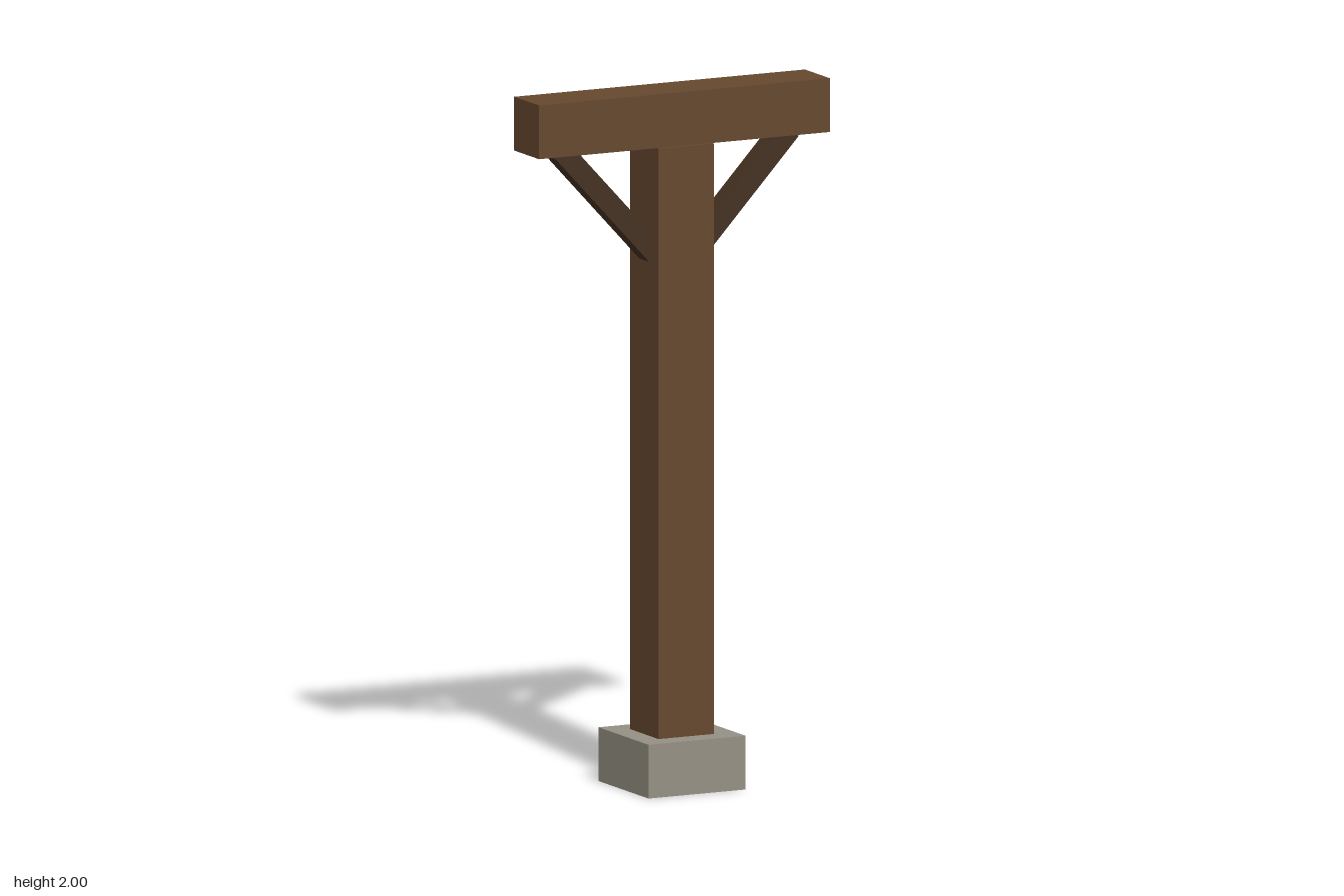
import * as THREE from 'three';

const mat = (color) => new THREE.MeshStandardMaterial({ color });

export function createModel() {
  const group = new THREE.Group();
  const wood = mat(0x65482e), darkWood = mat(0x433020), stone = mat(0x959084);

  const box = (name, w, h, d, y, material) => {
    const mesh = new THREE.Mesh(new THREE.BoxGeometry(w, h, d), material);
    mesh.name = name;
    mesh.position.y = y;
    group.add(mesh);
    return mesh;
  };

  // Stone footing, square post and cross beam, stacked
  box('footing', 0.308, 0.154, 0.308, 0.077, stone);
  box('post', 0.176, 1.692, 0.176, 1.0, wood);
  box('beam', 0.923, 0.154, 0.154, 1.923, wood);

  // Diagonal braces, let slightly into the post and the beam
  const inner = new THREE.Vector2(0.06, 1.527);
  const outer = new THREE.Vector2(0.364, 1.854);
  const span = outer.clone().sub(inner);
  for (const side of [1, -1]) {
    const brace = box(side > 0 ? 'leftBrace' : 'rightBrace',
      span.length(), 0.061, 0.061, (inner.y + outer.y) / 2, darkWood);
    brace.position.x = side * (inner.x + outer.x) / 2;
    brace.rotation.z = side * span.angle();
  }
  return group;
}
